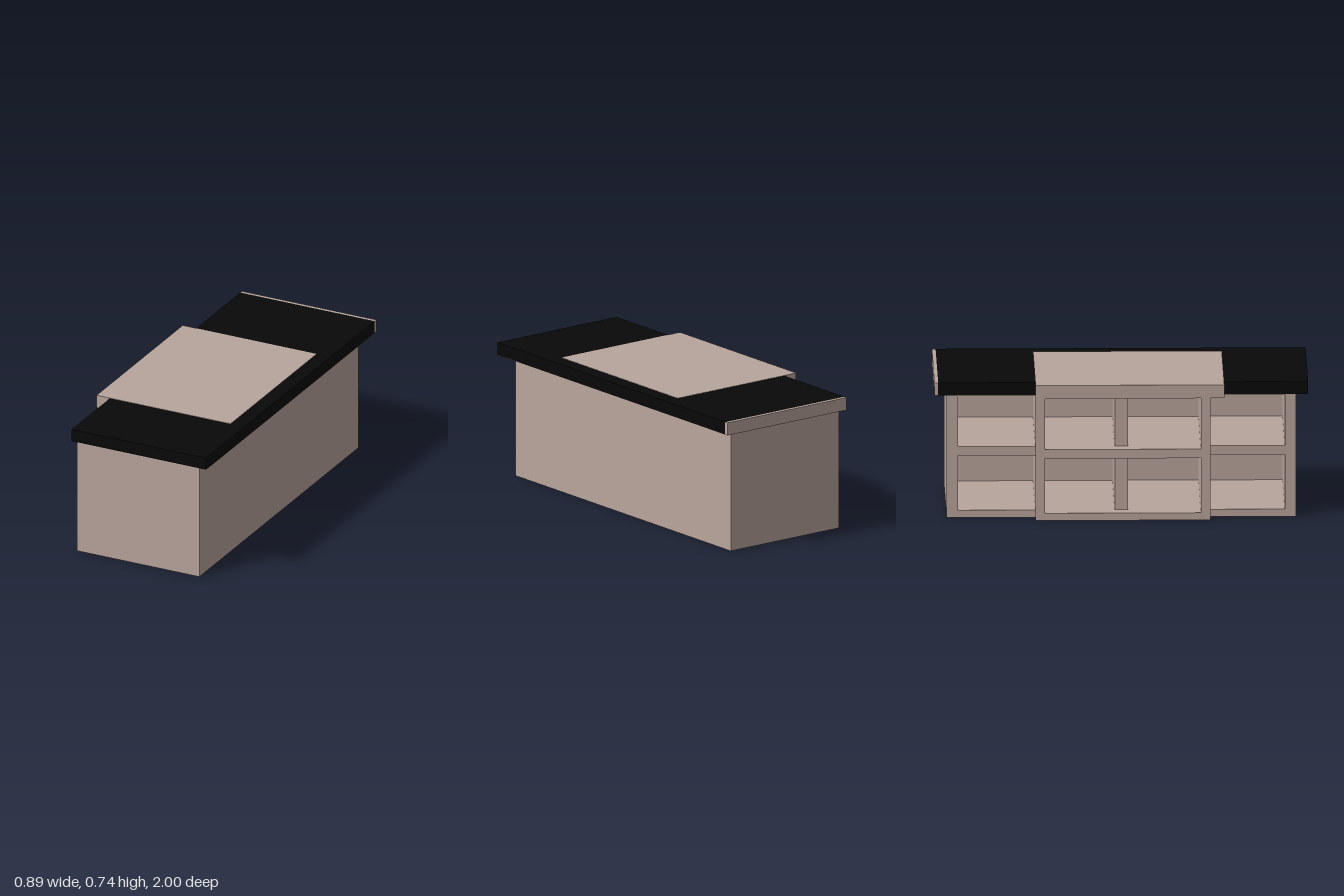
import * as THREE from 'three';

export function createModel() {
  const model = new THREE.Group();
  const wood = new THREE.MeshStandardMaterial({ color: 0xb8a59c });
  const black = new THREE.MeshStandardMaterial({ color: 0x080808 });

  // Box given by its limits on each axis
  function slab(name, [x0, x1], [y0, y1], [z0, z1], material = wood, parent = model) {
    const mesh = new THREE.Mesh(new THREE.BoxGeometry(x1 - x0, y1 - y0, z1 - z0), material);
    mesh.position.set((x0 + x1) / 2, (y0 + y1) / 2, (z0 + z1) / 2);
    mesh.name = name;
    parent.add(mesh);
  }

  const open = -0.365, back = 0.37, inner = 0.33; // open shelf side, closed side
  const bodyTop = 0.67, top = 0.74, end = 0.935;
  const middle = [-0.46, 0.475], proud = -0.445;  // projecting middle unit
  const wall = 0.05;

  // Cabinet carcass
  const cabinet = new THREE.Group();
  cabinet.name = 'cabinet';
  model.add(cabinet);
  slab('closedSidePanel', [inner, back], [0, bodyTop], [-end, end], wood, cabinet);
  slab('endPanel', [open, inner], [0, bodyTop], [-end, -end + 0.06], wood, cabinet);
  slab('endPanel', [open, inner], [0, bodyTop], [end - 0.06, end], wood, cabinet);
  slab('centreDivider', [open, inner], [0.04, bodyTop], [-0.035, 0.035], wood, cabinet);

  // Walls of the projecting unit
  slab('middleWall', [proud, inner], [0, bodyTop], [middle[0], middle[0] + wall], wood, cabinet);
  slab('middleWall', [proud, inner], [0, bodyTop], [middle[1] - wall, middle[1]], wood, cabinet);

  // Floors and shelves for the three bays
  const bays = [
    [open, -end + 0.06, middle[0]],
    [proud, middle[0] + wall, middle[1] - wall],
    [open, middle[1], end - 0.06],
  ];
  for (const [front, z0, z1] of bays) {
    slab('bayFloor', [front, inner], [0, 0.04], [z0, z1], wood, cabinet);
    slab('shelf', [front, inner], [0.34, 0.39], [z0, z1], wood, cabinet);
  }

  // Counter with a light underside and end strip
  slab('counterTop', [open, 0.443], [bodyTop + 0.002, top], [-0.98, 1], black);
  slab('counterUnderside', [open, 0.443], [bodyTop, bodyTop + 0.002], [-0.98, end]);
  slab('counterEndStrip', [open, 0.443], [bodyTop, top], [-1, -0.98]);

  // Raised work surface over the middle unit
  slab('middleTop', [proud, 0.36], [bodyTop - 0.001, top + 0.002], [-0.46, 0.55]);

  return model;
}
